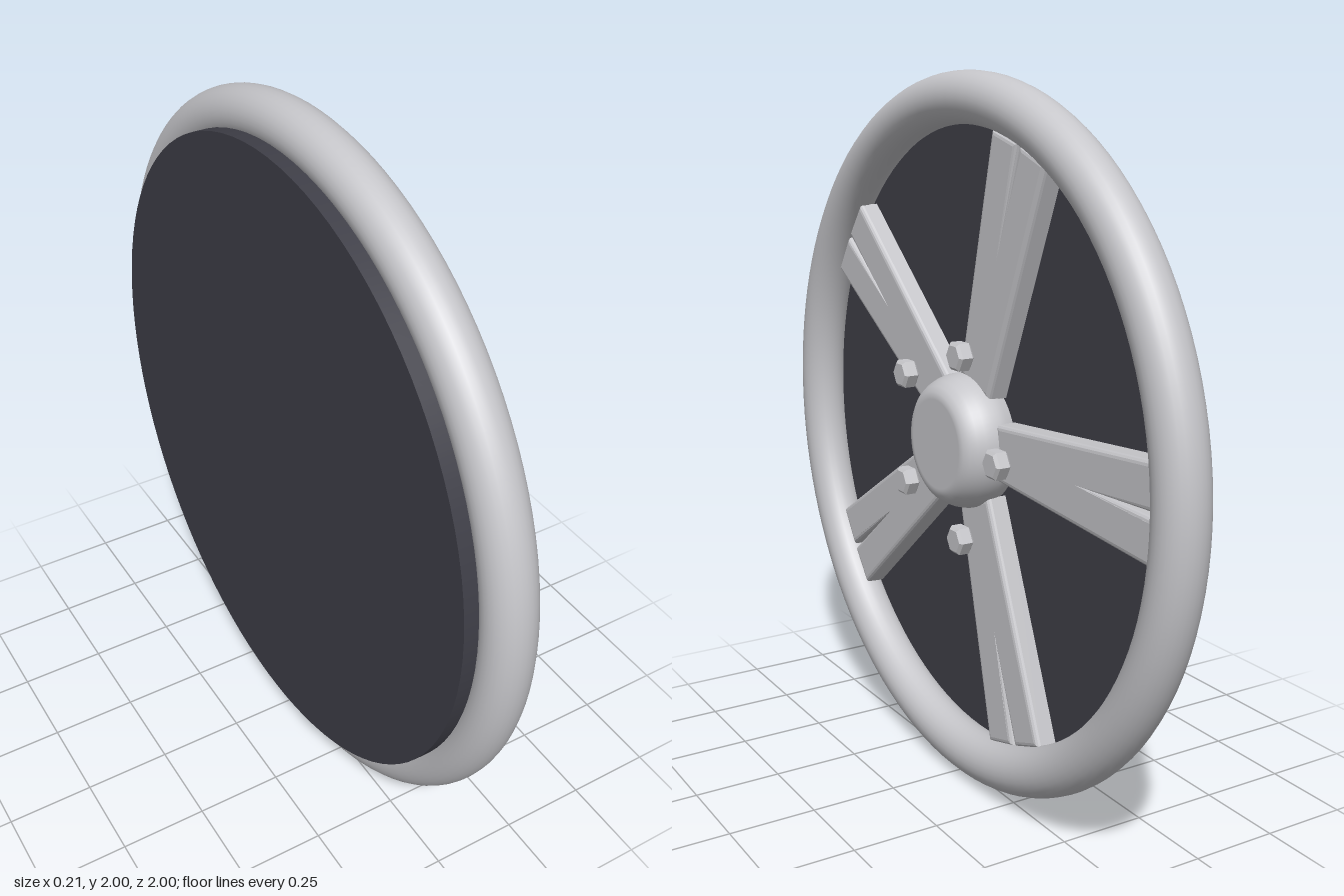
import * as THREE from 'three';

export function createModel() {
  const metal = new THREE.MeshStandardMaterial({ color: 0xc6c6ca });
  metal.name = 'light grey metal';
  const dark = new THREE.MeshStandardMaterial({ color: 0x3f3f48 });
  dark.name = 'dark backing';

  // The wheel is built facing +z, then turned to face +x
  const model = new THREE.Group();
  model.name = 'wheel';
  const wheel = new THREE.Group();
  wheel.name = 'wheelAssembly';
  wheel.position.y = 1;
  wheel.rotation.y = Math.PI / 2;
  model.add(wheel);

  const add = (name, geometry, material) => {
    const mesh = new THREE.Mesh(geometry, material);
    mesh.name = name;
    wheel.add(mesh);
    return mesh;
  };

  // Round outer rim
  add('rim', new THREE.TorusGeometry(0.93, 0.07, 28, 112), metal);

  // Backing disc behind the spokes
  const disc = new THREE.CylinderGeometry(0.9, 0.9, 0.06, 96);
  disc.rotateX(Math.PI / 2).translate(0, 0, -0.075);
  add('backingDisc', disc, dark);

  // Hub cap with a rounded shoulder
  const profile = [
    [0.175, -0.05], [0.188, -0.02], [0.19, 0], [0.189, 0.025], [0.183, 0.05], [0.173, 0.072],
    [0.16, 0.09], [0.145, 0.101], [0.132, 0.104], [0.125, 0.104], [0, 0.104],
  ].map(([r, h]) => new THREE.Vector2(r, h));
  add('hub', new THREE.LatheGeometry(profile, 64).rotateX(Math.PI / 2), metal);

  // Flaring spoke, split by a narrow wedge at its outer end
  const spokeShape = new THREE.Shape([
    [0.17, -0.078], [0.855, -0.13], [0.86, -0.007], [0.56, 0],
    [0.86, 0.007], [0.855, 0.13], [0.17, 0.078],
  ].map(([x, y]) => new THREE.Vector2(x, y)));
  const spoke = new THREE.ExtrudeGeometry(spokeShape, {
    depth: 0.052, bevelThickness: 0.013, bevelSize: 0.014, bevelOffset: -0.014, bevelSegments: 3,
  });
  spoke.translate(0, 0, -0.05);

  // Chamfered hexagonal bolt head
  const corners = [];
  for (let i = 0; i < 6; i++) {
    const a = i * Math.PI / 3;
    corners.push(new THREE.Vector2(0.043 * Math.cos(a), 0.043 * Math.sin(a)));
  }
  const bolt = new THREE.ExtrudeGeometry(new THREE.Shape(corners), {
    depth: 0.03, bevelThickness: 0.008, bevelSize: 0.008, bevelOffset: -0.008, bevelSegments: 1,
  });
  bolt.translate(0, 0, 0.06);

  // Five spokes, each with one bolt
  for (let i = 0; i < 5; i++) {
    const a = i * Math.PI * 2 / 5;
    add('spoke', spoke, metal).rotation.z = a;
    add('bolt', bolt, metal).position.set(0.27 * Math.cos(a), 0.27 * Math.sin(a), 0);
  }

  return model;
}
